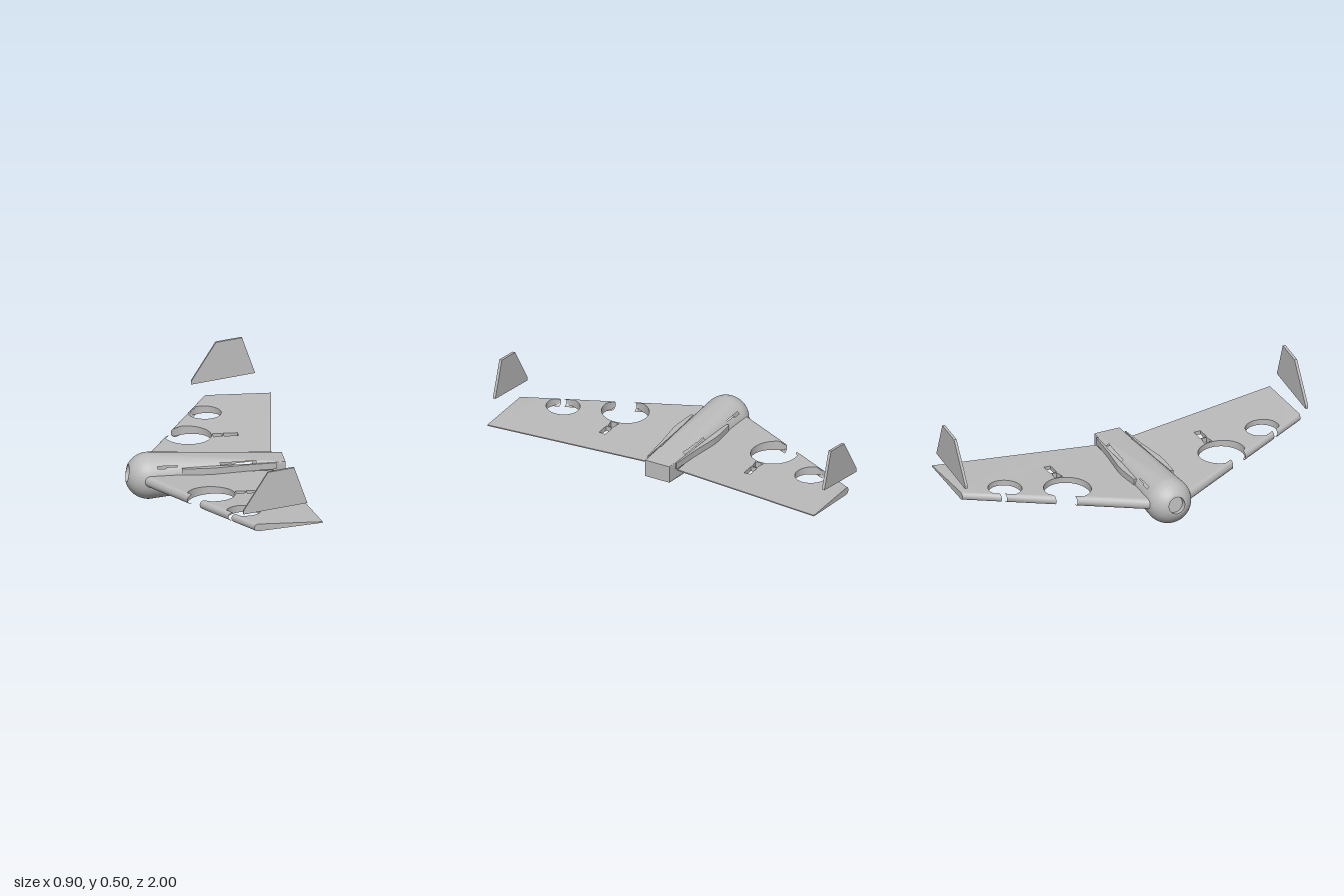
import * as THREE from 'three';
import { toCreasedNormals, mergeVertices } from 'three/addons/utils/BufferGeometryUtils.js';

const foam = new THREE.MeshStandardMaterial({ color: 0xbbbbbb, side: THREE.DoubleSide });
foam.name = 'grey foam';

function part(name, geometry, parent) {
  const mesh = new THREE.Mesh(geometry, foam);
  mesh.name = name;
  parent.add(mesh);
  return mesh;
}

// ---- Fuselage: round nose blending into a rectangular tail ----
const R = 0.123, NOSE_X = -0.333, NOSE_Y = 0.123, TAIL_X = 0.38;
const TAIL_HALF_Z = 0.073, TAIL_LOW = 0.096, TAIL_HIGH = 0.19;
const ARC = 24, FLAT = 10;

// One closed ring: four rounded corners joined by flat sides
function makeRing(corner) {
  const ring = [];
  for (let q = 0; q < 4; q++) {
    for (let k = 0; k <= ARC; k++) ring.push(corner((q + k / ARC) * Math.PI / 2, q));
    const a = ring[ring.length - 1], b = corner((q + 1) * Math.PI / 2, (q + 1) % 4);
    for (let k = 1; k < FLAT; k++) ring.push(a.clone().lerp(b, k / FLAT));
  }
  return ring;
}

function noseRing(phi, tilt, radiusScale = 1, push = 0) {
  return makeRing((a) => {
    const along = -R * Math.cos(phi) + push, out = R * Math.sin(phi) * radiusScale;
    const up = out * Math.sin(a), c = Math.cos(tilt), s = Math.sin(tilt);
    return new THREE.Vector3(NOSE_X + along * c + up * s, NOSE_Y - along * s + up * c, out * Math.cos(a));
  });
}

function bodyRing(t) {
  return makeRing((a, q) => new THREE.Vector3(
    THREE.MathUtils.lerp(NOSE_X, TAIL_X, t),
    (1 - t) * (NOSE_Y + R * Math.sin(a)) + t * (q < 2 ? TAIL_HIGH : TAIL_LOW),
    (1 - t) * R * Math.cos(a) + t * (q === 0 || q === 3 ? TAIL_HALF_Z : -TAIL_HALF_Z)));
}

// Openings: side slots, side windows and the belly bay
function isOpen(p) {
  const within = (x0, x1, y0, y1) => p.x > x0 && p.x < x1 && p.y > y0 && p.y < y1;
  return within(-0.3, -0.17, 0.189 + 0.09 * (p.x + 0.3), 0.203) || within(0.03, 0.23, 0.19, 0.201) ||
    (within(0.127, 0.23, 0.105, 0.19) && Math.abs(p.z) > 0.05) ||
    (within(-0.27, 0.07, -1, 0.053) && Math.abs(p.z) < 0.05);
}

function fuselageGeometry() {
  const rings = [];
  const cut = Math.acos(0.112 / R), tilt = 0.15;
  // Recessed cup in the nose
  rings.push(noseRing(cut, tilt, 0.001, 0.03), noseRing(cut, tilt, 0.9, 0.03), noseRing(cut, tilt, 0.9));
  for (let i = 0; i < 14; i++) {
    const f = i / 14;
    rings.push(noseRing(THREE.MathUtils.lerp(cut, Math.PI / 2, f), tilt * (1 - f)));
  }
  for (let i = 0; i <= 60; i++) rings.push(bodyRing(i / 60));
  const n = rings[0].length, index = [], center = new THREE.Vector3();
  for (let i = 0; i < rings.length - 1; i++) {
    for (let j = 0; j < n; j++) {
      const k = (j + 1) % n;
      center.copy(rings[i][j]).add(rings[i + 1][j]).add(rings[i][k]).add(rings[i + 1][k]).multiplyScalar(0.25);
      if (isOpen(center)) continue;
      const a = i * n + j, b = (i + 1) * n + j, c = (i + 1) * n + k, d = i * n + k;
      index.push(a, b, c, a, c, d);
    }
  }
  const geo = new THREE.BufferGeometry().setFromPoints(rings.flat());
  geo.setIndex(index);
  return toCreasedNormals(mergeVertices(geo, 1e-5), 0.5);
}

// ---- Wing: tapered, swept, with round openings cut into the leading edge ----
const ROOT_Z = 0.09, TIP_Z = 0.985, SWEEP = 0.526;
const leadX = (z) => -0.37 + SWEEP * (z - 0.11);
const trailX = (z) => THREE.MathUtils.mapLinear(z, ROOT_Z, TIP_Z, 0.325, 0.45);

function wingGeometry() {
  const shape = new THREE.Shape();
  shape.moveTo(trailX(ROOT_Z), ROOT_Z);
  shape.lineTo(leadX(ROOT_Z), ROOT_Z);
  const dir = new THREE.Vector2(SWEEP, 1).normalize();
  for (const [cx, cz, r] of [[-0.064, 0.45, 0.125], [0.066, 0.75, 0.089]]) {
    // The arc runs between the two points where the circle meets the leading edge
    const rel = new THREE.Vector2(leadX(cz) - cx, 0);
    const foot = rel.clone().addScaledVector(dir, -rel.dot(dir));
    const half = Math.sqrt(r * r - foot.lengthSq());
    const p = foot.clone().addScaledVector(dir, -half), q = foot.clone().addScaledVector(dir, half);
    shape.absarc(cx, cz, r, p.angle(), q.angle(), false);
  }
  shape.lineTo(leadX(TIP_Z), TIP_Z);
  shape.lineTo(trailX(TIP_Z), TIP_Z);
  // Servo slots
  for (const pts of [[[0.068, 0.412], [0.118, 0.422], [0.118, 0.45], [0.068, 0.46]],
    [[0.125, 0.418], [0.2, 0.418], [0.2, 0.456], [0.125, 0.456]]]) {
    shape.holes.push(new THREE.Path(pts.map(([x, z]) => new THREE.Vector2(x, z))));
  }
  const geo = new THREE.ExtrudeGeometry(shape, { depth: 1, steps: 10, bevelEnabled: false, curveSegments: 40 });
  const pos = geo.attributes.position;
  for (let i = 0; i < pos.count; i++) {
    const z = pos.getY(i), v = (pos.getZ(i) * 2 - 1) * Math.PI / 2;
    const s = (z - ROOT_Z) / (TIP_Z - ROOT_Z), lead = leadX(z);
    const radius = 0.031 - 0.01 * s;
    // Round the leading edge and thin the wing towards its trailing edge
    const x = Math.max(pos.getX(i), lead + radius * (1 - Math.cos(v)));
    const c = (x - lead) / (trailX(z) - lead);
    const y = 0.127 + 0.04 * s + c * (0.022 - 0.008 * s) + Math.sin(v) * (radius * (1 - c) + 0.003 * c);
    pos.setXYZ(i, x, y, -z);
  }
  return toCreasedNormals(geo, 0.5);
}

function plate(points, depth) {
  const shape = new THREE.Shape(points.map(([x, y]) => new THREE.Vector2(x, y)));
  return new THREE.ExtrudeGeometry(shape, { depth, bevelEnabled: false });
}

// Rail along the fuselage side, drawn from above and tilted by a slope
function rail(points, height, y, slope) {
  const geo = plate(points, height).rotateX(-Math.PI / 2);
  const pos = geo.attributes.position;
  for (let i = 0; i < pos.count; i++) pos.setY(i, pos.getY(i) + y + slope * pos.getX(i));
  geo.computeVertexNormals();
  return geo;
}

export function createModel() {
  const model = new THREE.Group();
  model.name = 'flyingWing';

  part('fuselage', fuselageGeometry(), model);
  const cap = part('tailCap', new THREE.PlaneGeometry(TAIL_HALF_Z * 2, TAIL_HIGH - TAIL_LOW), model);
  cap.rotation.y = Math.PI / 2;
  cap.position.set(TAIL_X, (TAIL_HIGH + TAIL_LOW) / 2, 0);

  // Belly bay lining
  const bay = new THREE.Group();
  bay.name = 'bellyBay';
  model.add(bay);
  const ceiling = part('bayCeiling', new THREE.PlaneGeometry(0.35, 0.1), bay);
  ceiling.rotation.x = Math.PI / 2;
  ceiling.position.set(-0.095, 0.054, 0);
  const front = part('bayFrontWall', new THREE.PlaneGeometry(0.1, 0.04), bay);
  front.rotation.y = Math.PI / 2;
  front.position.set(-0.27, 0.034, 0);
  const wall = new THREE.Shape([[-0.27, 0.019], [0.07, 0.054], [-0.27, 0.054]].map(([x, y]) => new THREE.Vector2(x, y)));
  for (const z of [-0.05, 0.05]) part('bayWall', new THREE.ShapeGeometry(wall), bay).position.z = z;

  // Mirrored halves
  const wing = wingGeometry();
  const fin = plate([[0.03, 0.25], [0.367, 0.298], [0.298, 0.497], [0.16, 0.478], [0.03, 0.268]], 0.015);
  fin.translate(0, 0, -1);
  const upperRail = rail([[-0.17, 0.1], [0, 0.09], [0.33, 0.08], [0.33, 0.087], [0.17, 0.1], [0, 0.123],
    [-0.05, 0.124], [-0.17, 0.115]], 0.035, 0.156, 0);
  const lowerRail = rail([[-0.17, 0.09], [0.12, 0.075], [0.12, 0.1], [0, 0.119], [-0.05, 0.12], [-0.17, 0.113]],
    0.05, 0.068, 0.1);
  for (const [side, sign] of [['right', 1], ['left', -1]]) {
    const half = new THREE.Group();
    half.name = side + 'Half';
    half.scale.z = sign;
    part(side + 'Wing', wing, half);
    part(side + 'Fin', fin, half);
    part(side + 'UpperRail', upperRail, half);
    part(side + 'LowerRail', lowerRail, half);
    model.add(half);
  }
  return model;
}
